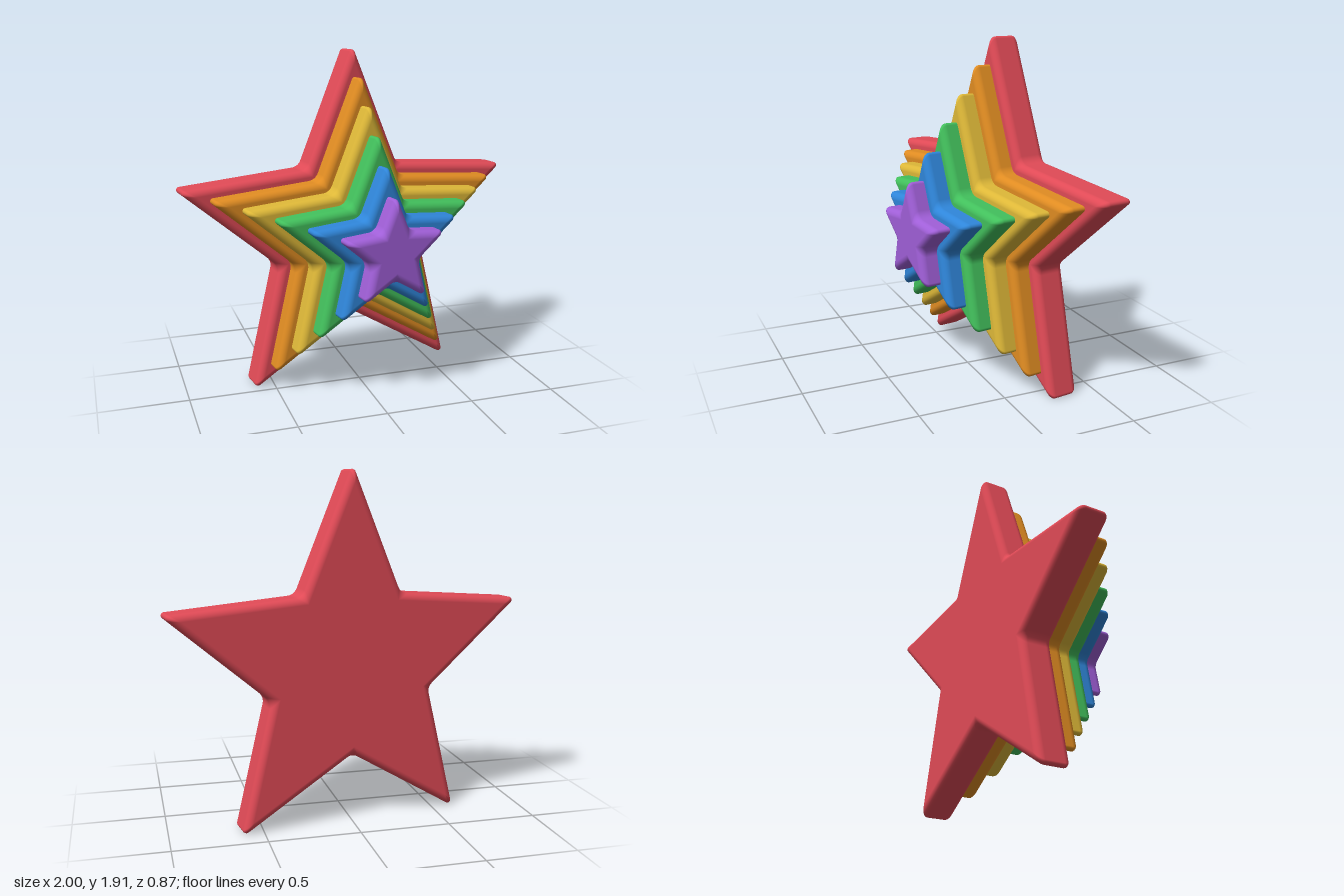
import * as THREE from 'three';

const BEVEL = 0.04, HALF = 0.094, ARC = 8, STEPS = 6, INNER = 0.45;

// One closed outline of a star, inset by d, its corners rounded over length t.
function outline(radius, d, t) {
  const v = [];
  for (let i = 0; i < 10; i++) {
    const a = Math.PI / 2 + (i * Math.PI) / 5;
    const r = i % 2 ? radius * INNER : radius;
    v.push(new THREE.Vector2(Math.cos(a) * r, Math.sin(a) * r));
  }
  const points = [];
  v.forEach((p, i) => {
    const e1 = p.clone().sub(v[(i + 9) % 10]).normalize();
    const e2 = v[(i + 1) % 10].clone().sub(p).normalize();
    const n1 = new THREE.Vector2(e1.y, -e1.x), n2 = new THREE.Vector2(e2.y, -e2.x);
    const corner = p.clone().addScaledVector(n1.clone().add(n2), -d / (1 + n1.dot(n2)));
    const turn = Math.atan2(e1.cross(e2), e1.dot(e2));
    const rho = t / Math.tan(turn / 2);
    const centre = corner.addScaledVector(e1, -t).addScaledVector(n1, -rho);
    const start = Math.atan2(n1.y, n1.x);
    for (let k = 0; k <= ARC; k++) {
      const a = start + (turn * k) / ARC;
      const nx = Math.cos(a), ny = Math.sin(a);
      points.push({ x: centre.x + rho * nx, y: centre.y + rho * ny, nx, ny });
    }
  });
  return points;
}

// Thick star with softly rounded edges: rings from back to front, then two flat faces.
function starGeometry(radius) {
  const pos = [], nor = [], index = [];
  const n = 10 * (ARC + 1);
  const addRing = (theta, side) => {
    const c = Math.cos(theta), s = Math.sin(theta);
    for (const p of outline(radius, BEVEL * (1 - c), BEVEL * c)) {
      pos.push(p.x, p.y, side * (HALF - BEVEL) + BEVEL * s);
      nor.push(p.nx * c, p.ny * c, s);
    }
  };
  for (let j = 0; j <= STEPS; j++) addRing((-Math.PI / 2) * (1 - j / STEPS), -1);
  for (let j = 0; j <= STEPS; j++) addRing((Math.PI / 2) * (j / STEPS), 1);
  const rings = 2 * STEPS + 2;
  for (let j = 0; j < rings - 1; j++) {
    for (let i = 0; i < n; i++) {
      const a = j * n + i, b = j * n + ((i + 1) % n);
      index.push(a, b, b + n, a, b + n, a + n);
    }
  }
  // Flat faces fan out from the middle
  for (const side of [-1, 1]) {
    const mid = pos.length / 3, first = side < 0 ? 0 : (rings - 1) * n;
    pos.push(0, 0, side * HALF);
    nor.push(0, 0, side);
    for (let i = 0; i < 10; i++) {
      const a = first + i * (ARC + 1), b = first + ((i + 1) % 10) * (ARC + 1);
      if (side > 0) index.push(mid, a, b);
      else index.push(mid, b, a);
    }
  }
  const g = new THREE.BufferGeometry();
  g.setAttribute('position', new THREE.Float32BufferAttribute(pos, 3));
  g.setAttribute('normal', new THREE.Float32BufferAttribute(nor, 3));
  g.setIndex(index);
  return g;
}

export function createModel() {
  const model = new THREE.Group();
  model.name = 'rainbowStar';

  // Stack of shrinking stars, turned a little to its left
  const stack = new THREE.Group();
  stack.name = 'starStack';
  stack.position.set(0, 0.856, -0.215);
  stack.rotation.y = 0.14;
  model.add(stack);

  const colours = [
    ['red', 0xe04a56], ['orange', 0xe08c22], ['yellow', 0xdeb838],
    ['green', 0x42c05c], ['blue', 0x2f86da], ['purple', 0xa05fd8],
  ];
  colours.forEach(([name, color], i) => {
    const material = new THREE.MeshStandardMaterial({ color });
    material.name = name;
    const star = new THREE.Mesh(starGeometry(1.082 - 0.151 * i), material);
    star.name = name + 'Star';
    star.position.z = 0.106 * i;
    stack.add(star);
  });
  return model;
}
